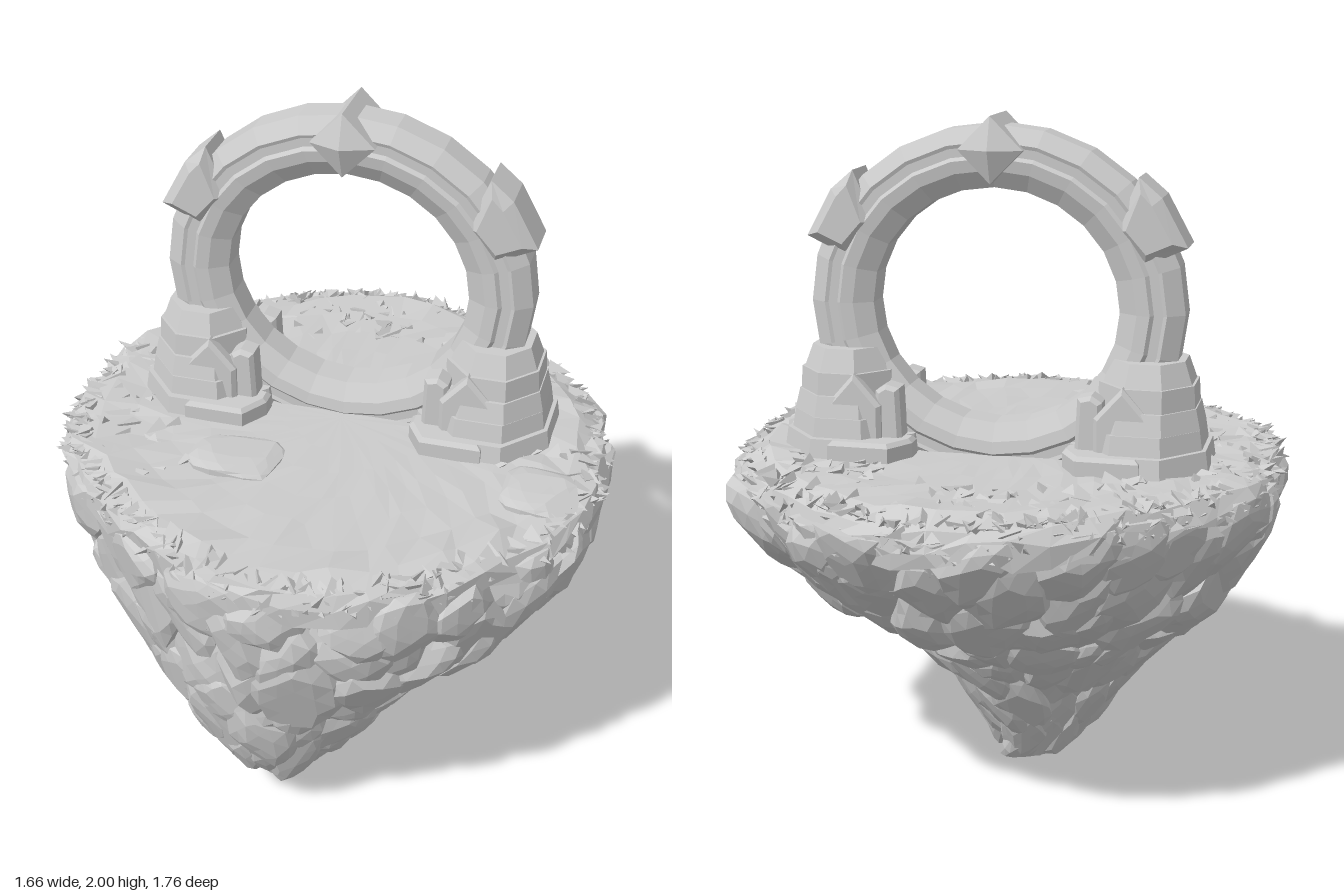
import * as THREE from 'three';
import { mergeGeometries } from 'three/addons/utils/BufferGeometryUtils.js';

const stone = new THREE.MeshStandardMaterial({ color: 0xcccccc, flatShading: true, side: THREE.DoubleSide });
let seed = 7;
const rand = () => (seed = (seed * 16807) % 2147483647) / 2147483647;
const jit = (s) => (rand() - 0.5) * 2 * s;
const V = (x, y, z) => new THREE.Vector3(x, y, z);

// Island extents by height: y, xMin, xMax, zMin, zMax
const LEVELS = [
  [0, -0.21, 0.08, -0.02, 0.46], [0.2, -0.34, 0.21, -0.14, 0.67], [0.42, -0.52, 0.39, -0.31, 0.755],
  [0.5, -0.59, 0.46, -0.43, 0.765], [0.6, -0.67, 0.62, -0.58, 0.8], [0.8, -0.755, 0.785, -0.77, 0.84],
  [0.95, -0.82, 0.82, -0.87, 0.875], [1.04, -0.8, 0.8, -0.85, 0.855],
];
// Rim outline radius every 22.5 degrees, from +x towards +z
const RIM = [0.81, 0.83, 0.82, 0.85, 0.87, 0.8, 0.79, 0.83, 0.82, 0.84, 0.8, 0.83, 0.86, 0.82, 0.78, 0.8];

// Outline is diamond-like at the foot and follows RIM at the top
function surfacePoint(a, y) {
  let i = 0;
  while (i < LEVELS.length - 2 && y > LEVELS[i + 1][0]) i++;
  const A = LEVELS[i], B = LEVELS[i + 1], t = (y - A[0]) / (B[0] - A[0]);
  const [, x0, x1, z0, z1] = A.map((v, k) => v + (B[k] - v) * t);
  const u = (((a / (Math.PI * 2)) % 1) + 1) % 1 * 16, k = Math.floor(u) % 16;
  const r = RIM[k] + (RIM[(k + 1) % 16] - RIM[k]) * (u - Math.floor(u));
  const c = Math.cos(a), s = Math.sin(a), h = Math.min(1, Math.max(0, y));
  const power = 1.6 + 0.4 * Math.min(1, h / 0.7);
  const diamond = (Math.abs(c) ** power + Math.abs(s) ** power) ** (-1 / power);
  const f = diamond * (1 + (r * Math.hypot(c / 0.815, s / 0.87) - 1) * h);
  return V((x0 + x1) / 2 + (x1 - x0) / 2 * f * c, y, (z0 + z1) / 2 + (z1 - z0) / 2 * f * s);
}

// The rim sinks towards the back left
const rimDrop = (a) => 0.035 * Math.max(0, Math.cos(a + 0.7));

// Closed skin through rings of equal point count
function loft(rings) {
  const n = rings[0].length, pos = rings.flat().flatMap((p) => [p.x, p.y, p.z]), idx = [];
  for (let i = 0; i < rings.length - 1; i++)
    for (let j = 0; j < n; j++) {
      const a = i * n + j, b = i * n + (j + 1) % n, c = a + n, d = b + n;
      idx.push(a, c, b, b, c, d);
    }
  const g = new THREE.BufferGeometry();
  g.setAttribute('position', new THREE.Float32BufferAttribute(pos, 3));
  g.setIndex(idx);
  g.computeVertexNormals();
  return g;
}

function add(parent, name, geo) {
  const m = new THREE.Mesh(geo, stone);
  m.name = name;
  parent.add(m);
  return m;
}

// Boulder: a rounded block chiselled by random planes
function boulder() {
  const g = new THREE.IcosahedronGeometry(1, 2), p = g.attributes.position, v = V(0, 0, 0);
  const cuts = [...Array(11)].map(() => [V(jit(1), jit(1), jit(1)).normalize(), 0.78 + rand() * 0.2]);
  for (let i = 0; i < p.count; i++) {
    v.fromBufferAttribute(p, i);
    v.multiplyScalar(Math.min(1.14, 0.96 / Math.max(Math.abs(v.x), Math.abs(v.y), Math.abs(v.z))));
    for (const [n, d] of cuts) {
      const over = v.dot(n) - d;
      if (over > 0) v.addScaledVector(n, -over);
    }
    p.setXYZ(i, v.x, v.y, v.z);
  }
  return g;
}

function island(group) {
  // Inner body
  const N = 48, rings = [];
  for (const y of [0, 0, 0.08, 0.16, 0.24, 0.32, 0.4, 0.48, 0.56, 0.66, 0.76, 0.86, 0.96]) {
    const c = surfacePoint(0, y).add(surfacePoint(Math.PI, y)).multiplyScalar(0.5);
    c.z = (surfacePoint(Math.PI / 2, y).z + surfacePoint(-Math.PI / 2, y).z) / 2;
    rings.push([...Array(N)].map((_, j) => {
      if (rings.length === 0) return c.clone();
      return surfacePoint(j / N * Math.PI * 2, y).sub(c).multiplyScalar(0.945 + jit(0.02)).add(c);
    }));
  }
  add(group, 'islandCore', loft(rings));

  // Tiers of upright boulders: height, count, half width, half height, half depth
  const rocks = [];
  for (const [y, n, w, h, d] of [
    [0.88, 27, 0.125, 0.13, 0.08], [0.76, 25, 0.13, 0.19, 0.09], [0.61, 23, 0.125, 0.17, 0.09], [0.5, 23, 0.1, 0.12, 0.07],
    [0.37, 21, 0.1, 0.17, 0.075], [0.23, 18, 0.085, 0.17, 0.065], [0.09, 15, 0.075, 0.16, 0.05],
  ])
    for (let i = 0; i < n; i++) {
      const a = (i + jit(0.3) + y * 5) / n * Math.PI * 2, yy = y + jit(0.03);
      // Flatter slab on the front right
      const depth = d * (Math.abs(((a + 6.283) % 6.283) - 2.1) < 0.4 ? 0.7 : 1);
      const p = surfacePoint(a, yy);
      const T = surfacePoint(a + 0.08, yy).sub(surfacePoint(a - 0.08, yy)).normalize();
      const U = surfacePoint(a, yy + 0.1).sub(surfacePoint(a, yy - 0.1)).normalize();
      const inward = T.clone().cross(U).normalize();
      U.copy(inward).cross(T);
      const k = 0.88 + rand() * 0.3;
      p.addScaledVector(inward, depth * (0.78 + jit(0.12)));
      const g = boulder().scale(w * k, h * k, depth).rotateZ(jit(0.2)).rotateX(jit(0.08)).rotateY(jit(0.1));
      g.applyMatrix4(new THREE.Matrix4().makeBasis(T, U, inward).setPosition(p));
      const q = g.attributes.position;
      for (let j = 0; j < q.count; j++) q.setY(j, Math.min(1.0 - rimDrop(a), Math.max(0, q.getY(j))));
      rocks.push(g);
    }
  add(group, 'cliffBoulders', mergeGeometries(rocks));

  // Turf with a ragged overhanging rim
  const turf = [[0.99, 0.94], [0.995, 0.985], [0.965, 1.025], [0.88, 1.035], [0.76, 1.03], [0.62, 1.03],
    [0.48, 1.03], [0.34, 1.03], [0.2, 1.03], [0, 1.03]].map(([t, y], i) => {
    return [...Array(N)].map((_, j) => {
      const a = (j + (t ? jit(0.3) : 0)) / N * Math.PI * 2;
      const p = surfacePoint(a, 0.97).multiplyScalar(t ? t + jit(0.012) : 0);
      p.y = y + jit(i < 2 ? 0.03 : 0.012 * t * t) - (i < 3 ? rimDrop(a) : 0);
      return p;
    });
  });
  add(group, 'turf', loft(turf));

  // Grass tufts, dense along the rim and sparser inside
  const tufts = [];
  for (let i = 0; i < 700; i++) {
    const rim = i < 520, a = rim ? rand() * 6.283 : 2.4 + rand() * 4.2;
    const t = rim ? 0.93 + rand() * 0.06 : 0.6 + rand() * 0.34;
    const p = surfacePoint(a, 0.97).multiplyScalar(t);
    p.y = t > 0.96 ? 0.95 + rand() * 0.07 - rimDrop(a) : 1.025 + jit(0.005) - (rim ? rimDrop(a) / 2 : 0);
    const g = new THREE.ConeGeometry(0.02 + rand() * 0.012, 0.045 + rand() * 0.03, 3);
    g.rotateY(rand() * 6).rotateZ(-0.95 - rand() * 0.8).rotateY(-a + jit(1)).translate(p.x, p.y, p.z);
    tufts.push(g);
  }
  add(group, 'grassTufts', mergeGeometries(tufts));

  // Flat stones sunk in the turf
  for (const [x, z, w, d] of [[-0.23, 0.28, 0.14, 0.115], [0.65, 0.22, 0.115, 0.125]])
    add(group, 'flatStone', boulder().scale(w, 0.025, d)).position.set(x, 1.035, z);
}

function extrude(points, depth, bevel) {
  const s = new THREE.Shape(points.map(([x, y]) => new THREE.Vector2(x, y)));
  return new THREE.ExtrudeGeometry(s, { depth: depth - 2 * bevel, bevelThickness: bevel, bevelSize: bevel, bevelOffset: -bevel, bevelSegments: 1 })
    .translate(0, 0, -depth / 2 + bevel);
}

function gateway(group) {
  const gate = new THREE.Group();
  gate.name = 'gateway';
  gate.position.z = -0.103;
  group.add(gate);

  // Ring with chamfered, grooved section, slightly wider than tall
  const half = [[0.34, 0.045], [0.39, 0.078], [0.425, 0.084], [0.435, 0.074], [0.46, 0.074], [0.47, 0.078], [0.515, 0.045]];
  const section = [...half, ...half.map(([r, z]) => [r, -z]).reverse(), half[0]].map(([r, z]) => new THREE.Vector2(r, z));
  add(gate, 'ring', new THREE.LatheGeometry(section, 24).rotateX(Math.PI / 2).scale(1.06, 1, 1)).position.y = 1.46;

  // Pointed keystone gem
  const gem = [[0, -0.135], [0.093, -0.1], [0.093, 0.1], [0, 0.135]].map(([r, y]) => new THREE.Vector2(r, y));
  add(gate, 'keystoneGem', new THREE.LatheGeometry(gem, 4).rotateX(Math.PI / 2)).position.y = 1.907;

  for (const s of [1, -1]) {
    const mirror = (pts) => pts.map(([x, y]) => [x * s, y]);
    // Shield-shaped clasp
    add(gate, 'clasp', extrude(mirror([[0.345, 1.69], [0.43, 1.595], [0.55, 1.65], [0.475, 1.785], [0.41, 1.84]]), 0.185, 0.03));

    // Stepped octagonal footing: centre x, bottom y, top y, bottom radius, top radius
    const tiers = [[0.425, 0.98, 1.085, 0.232, 0.215], [0.432, 1.08, 1.14, 0.195, 0.185], [0.437, 1.14, 1.2, 0.18, 0.165],
      [0.443, 1.2, 1.265, 0.155, 0.15], [0.445, 1.265, 1.33, 0.14, 0.115]];
    for (const [x, y0, y1, r0, r1] of tiers) {
      const k = 1 / Math.cos(Math.PI / 8);
      const g = new THREE.CylinderGeometry(r1 * k, r0 * k, y1 - y0, 8).rotateY(Math.PI / 8);
      add(gate, 'footingTier', g.scale(0.9, 1, 1)).position.set(x * s, (y0 + y1) / 2, 0);
    }
    for (const f of [1, -1]) {
      // Gabled plate, inner post and chamfered slab on each face
      add(gate, 'gable', extrude(mirror([[0.31, 1.04], [0.49, 1.04], [0.47, 1.18], [0.39, 1.27], [0.31, 1.18]]), 0.05, 0.012)).position.z = 0.145 * f;
      add(gate, 'innerPost', extrude(mirror([[0.25, 1.0], [0.34, 1.0], [0.33, 1.22], [0.3, 1.24], [0.26, 1.23]]), 0.08, 0.012)).position.z = 0.11 * f;
      const slab = extrude([[0.22, 0.1], [0.28, 0.09], [0.34, 0.1], [0.45, 0.1], [0.45, 0.232], [0.27, 0.232], [0.22, 0.15]]
        .map(([x, z]) => [x * s, z * f]), 0.09, 0.012);
      add(gate, 'footSlab', slab.rotateX(Math.PI / 2)).position.y = 1.04;
    }
  }
}

export function createModel() {
  seed = 7;
  const group = new THREE.Group();
  group.name = 'floatingIslandGateway';
  island(group);
  gateway(group);
  return group;
}
